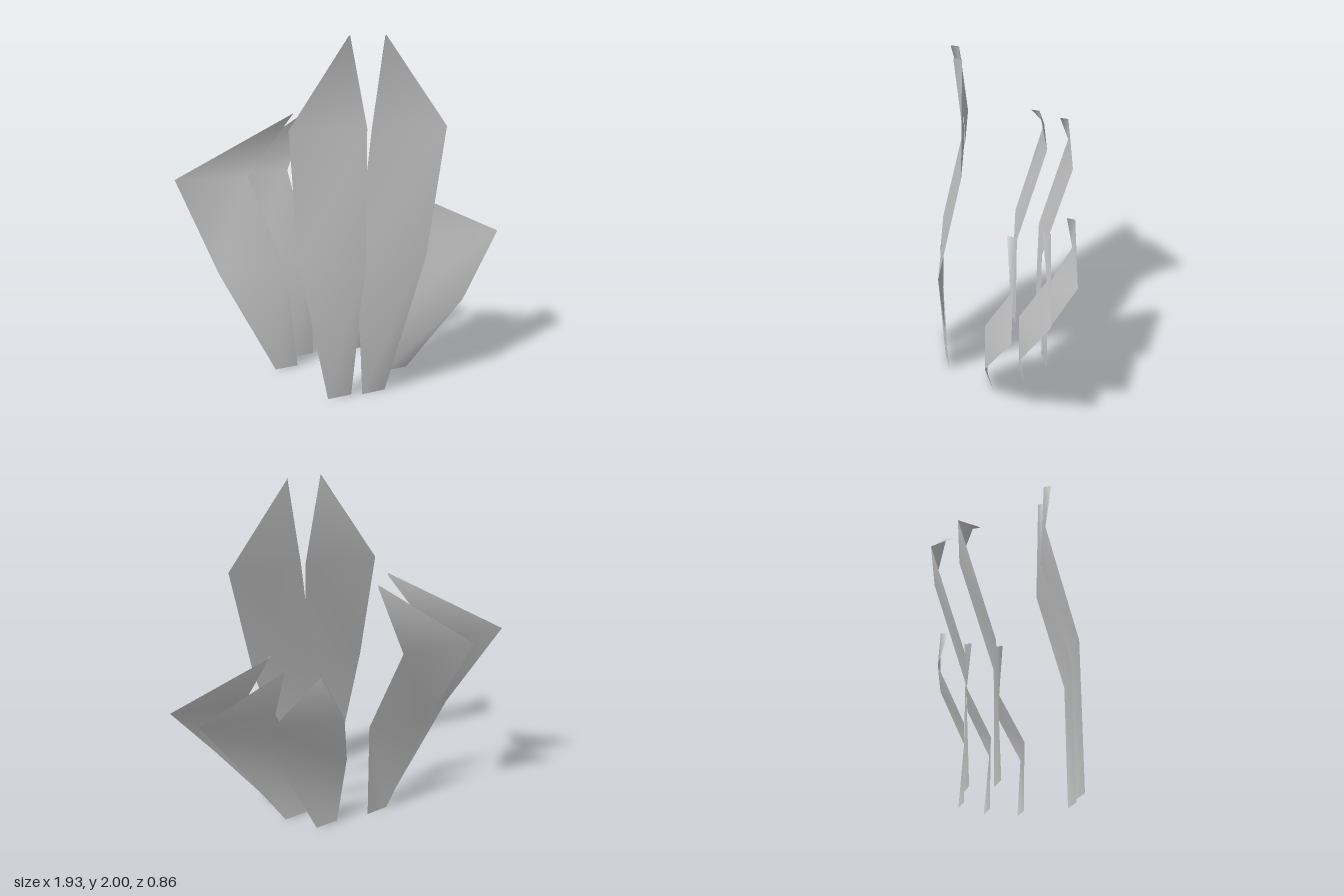
import * as THREE from 'three';

// Bend of every blade, from root to tip: height fraction and z shift
const ROWS = [
  { h: 0, dz: 0 },
  { h: 0.4, dz: 0 },
  { h: 0.75, dz: -0.167 },
  { h: 1, dz: -0.132 },
];
const DEPTH = 0.047; // the +x edge sits this much further back

// z is that of the -x edge at the root; spans are [-x edge, +x edge] per row
const BLADES = [
  { name: 'tallBladeRight', height: 2, z: 0.435, spans: [[-0.115, 0.02], [-0.27, 0.1], [-0.31, 0.12], [0.01, 0.022]] },
  { name: 'tallBladeLeft', height: 2, z: 0.39, spans: [[0.083, 0.217], [0.05, 0.44], [0.145, 0.57], [0.208, 0.22]] },
  { name: 'mediumBladeFront', height: 1.533, z: 0.024, spans: [[-0.404, -0.27], [-0.72, -0.33], [-0.97, -0.546], [-0.28, -0.268]] },
  { name: 'mediumBladeBack', height: 1.533, z: -0.147, spans: [[-0.301, -0.167], [-0.555, -0.167], [-0.73, -0.306], [-0.177, -0.165]] },
  { name: 'shortBladeFront', height: 1.07, z: 0.098, spans: [[0.255, 0.389], [0.337, 0.725], [0.541, 0.965], [0.379, 0.391]] },
  { name: 'shortBladeMiddle', height: 1.07, z: -0.09, spans: [[0.2, 0.335], [0.232, 0.62], [0.395, 0.82], [0.323, 0.335]] },
  { name: 'shortBladeBack', height: 1.07, z: -0.215, spans: [[0.032, 0.167], [-0.028, 0.362], [0.028, 0.452], [0.153, 0.165]] },
];

// Thin, smooth-shaded leaf strip through the four rows
function bladeGeometry({ height, z, spans }) {
  const position = [], index = [];
  spans.forEach(([x0, x1], i) => {
    const y = ROWS[i].h * height, zi = z + ROWS[i].dz;
    position.push(x0, y, zi, x1, y, zi - DEPTH);
    if (i > 0) {
      const a = 2 * (i - 1);
      index.push(a, a + 1, a + 3, a, a + 3, a + 2);
    }
  });
  const geometry = new THREE.BufferGeometry();
  geometry.setAttribute('position', new THREE.Float32BufferAttribute(position, 3));
  geometry.setIndex(index);
  geometry.computeVertexNormals();
  return geometry;
}

export function createModel() {
  const grey = new THREE.MeshStandardMaterial({ color: 0xc4c4c4, side: THREE.DoubleSide });
  grey.name = 'leaf grey';
  const plant = new THREE.Group();
  plant.name = 'grassTuft';
  for (const blade of BLADES) {
    const mesh = new THREE.Mesh(bladeGeometry(blade), grey);
    mesh.name = blade.name;
    plant.add(mesh);
  }
  return plant;
}
